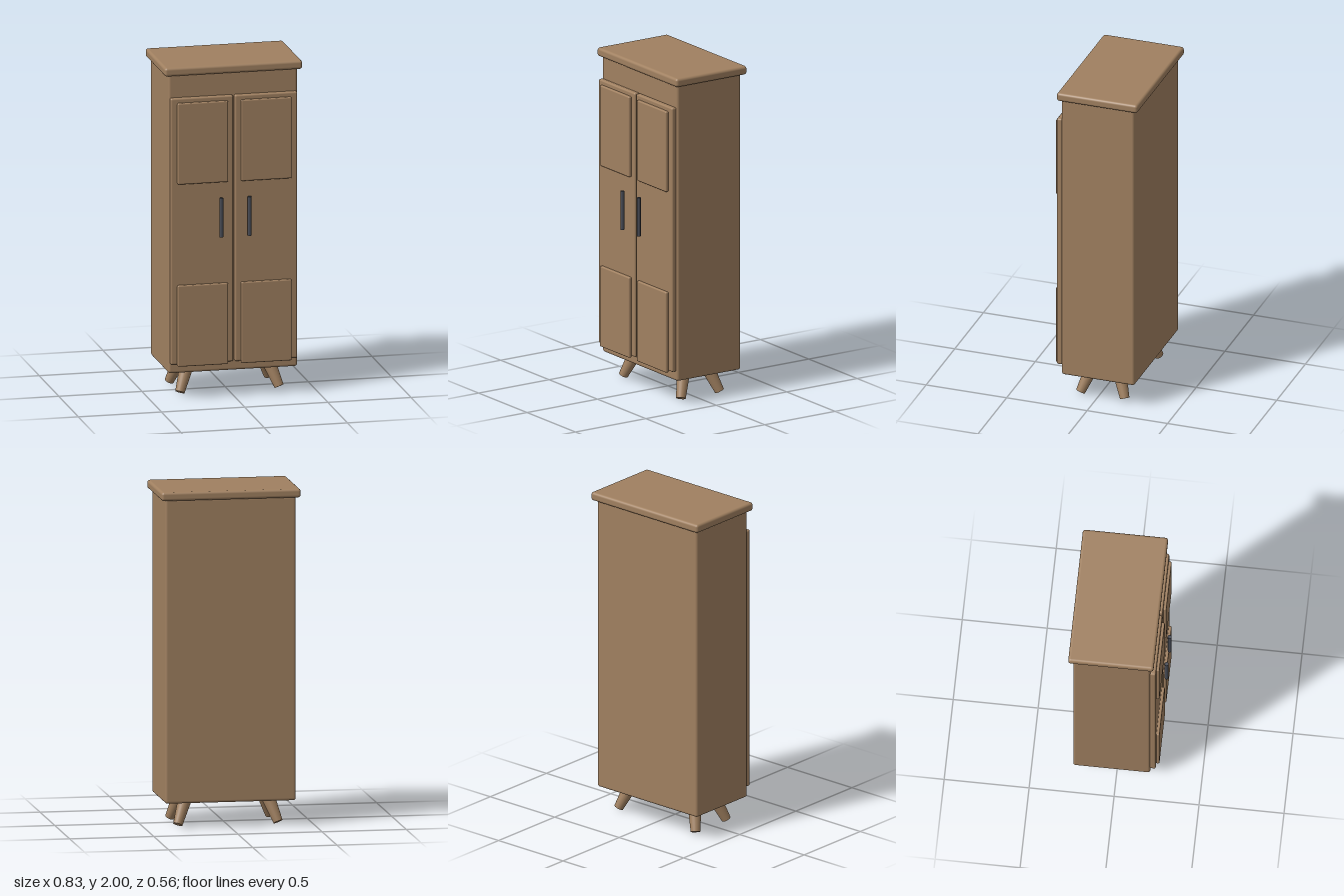
import * as THREE from 'three';
import { RoundedBoxGeometry } from 'three/addons/geometries/RoundedBoxGeometry.js';

export function createModel() {
  const model = new THREE.Group();
  model.name = 'wardrobe';
  const wood = new THREE.MeshStandardMaterial({ color: 0xa08060 });
  wood.name = 'wood';
  const metal = new THREE.MeshStandardMaterial({ color: 0x464a54 });
  metal.name = 'dark metal';

  // Rounded box given by its minimum and maximum corners
  function box(name, min, max, radius) {
    const size = max.map((v, i) => v - min[i]);
    const mesh = new THREE.Mesh(new RoundedBoxGeometry(...size, 4, radius), wood);
    mesh.position.set(...max.map((v, i) => (v + min[i]) / 2));
    mesh.name = name;
    model.add(mesh);
  }

  // Cabinet and overhanging top
  box('cabinet', [-0.388, 0.15, -0.253], [0.388, 1.955, 0.2], 0.015);
  box('top', [-0.414, 1.948, -0.28], [0.414, 2, 0.222], 0.016);

  for (const side of [1, -1]) {
    const label = side > 0 ? 'left' : 'right';
    const spanX = (a, b) => (side > 0 ? [a, b] : [-b, -a]);

    // Door with its two raised panels
    const [d0, d1] = spanX(0.005, 0.381);
    box(label + 'Door', [d0, 0.21, 0.198], [d1, 1.817, 0.232], 0.01);
    const [p0, p1] = spanX(0.039, 0.343);
    box(label + 'UpperPanel', [p0, 1.3, 0.227], [p1, 1.79, 0.25], 0.008);
    box(label + 'LowerPanel', [p0, 0.2, 0.227], [p1, 0.69, 0.25], 0.008);

    // Upright bar handle
    const handle = new THREE.Mesh(new THREE.CylinderGeometry(0.0115, 0.0115, 0.235, 20), metal);
    handle.position.set(side * 0.085, 1.092, 0.265);
    handle.name = label + 'Handle';
    model.add(handle);

    // Splayed tapering legs
    for (const end of [1, -1]) {
      const foot = new THREE.Vector3(side * 0.298, 0.013, -0.025 + end * 0.137);
      const head = new THREE.Vector3(side * 0.241, 0.17, -0.025 + end * 0.08);
      const axis = head.clone().sub(foot);
      const leg = new THREE.Mesh(new THREE.CylinderGeometry(0.042, 0.028, axis.length(), 24), wood);
      leg.position.copy(foot).add(head).multiplyScalar(0.5);
      leg.quaternion.setFromUnitVectors(new THREE.Vector3(0, 1, 0), axis.normalize());
      leg.name = label + (end > 0 ? 'FrontLeg' : 'BackLeg');
      model.add(leg);
    }
  }
  return model;
}
